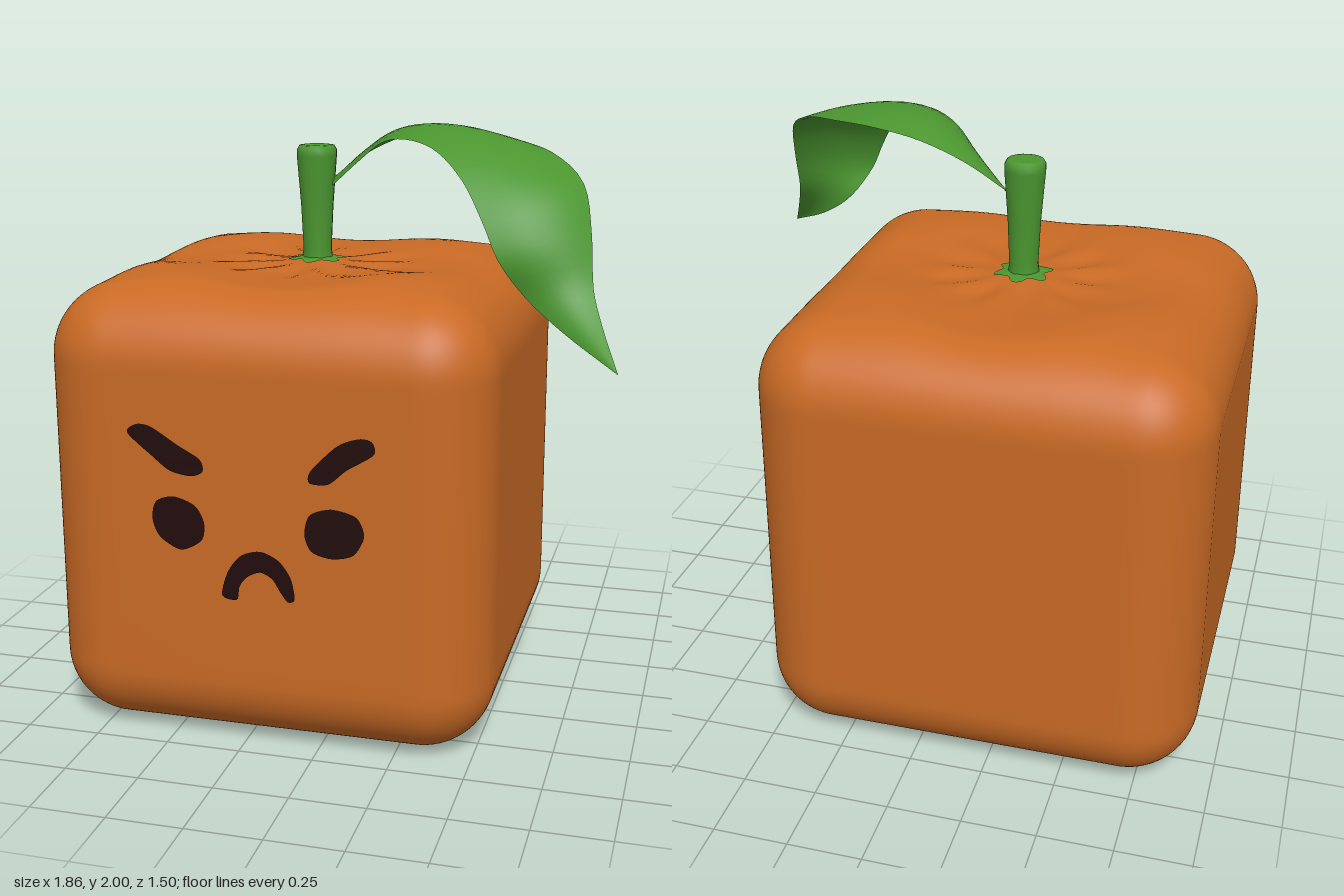
import * as THREE from 'three';
import { mergeVertices } from 'three/addons/utils/BufferGeometryUtils.js';

const CX = -0.19, CZ = -0.005; // body axis

const orange = new THREE.MeshStandardMaterial({ name: 'orange skin', color: 0xc96a25 });
const green = new THREE.MeshStandardMaterial({ name: 'leaf green', color: 0x4b9630, side: THREE.DoubleSide });
const ink = new THREE.MeshStandardMaterial({ name: 'dark face paint', color: 0x220d0d });

function addMesh(parent, name, geometry, material) {
  const mesh = new THREE.Mesh(geometry, material);
  mesh.name = name;
  parent.add(mesh);
  return mesh;
}

// Height of the puckered top: four diagonal lobes, fine creases and a raised centre
function pucker(x, z) {
  const r = Math.hypot(x, z), a = Math.atan2(z, x);
  const lobes = 0.03 * Math.exp(-(((r - 0.52) / 0.17) ** 2)) * (0.5 - 0.5 * Math.cos(4 * a));
  const creases = 0.008 * Math.exp(-(((r - 0.24) / 0.1) ** 2)) * Math.cos(9 * a + 0.6);
  return lobes + creases + 0.018 * Math.exp(-((r / 0.12) ** 2));
}

// Rounded cube with a fine grid so the top can be shaped
function bodyGeometry() {
  const half = new THREE.Vector3(0.743, 0.751, 0.745), radius = 0.24;
  let geo = new THREE.BoxGeometry(half.x * 2, half.y * 2, half.z * 2, 60, 60, 60);
  geo.deleteAttribute('uv');
  geo.deleteAttribute('normal');
  geo.clearGroups();
  geo = mergeVertices(geo, 1e-4);
  const inner = half.clone().subScalar(radius), low = inner.clone().negate();
  const pos = geo.attributes.position, p = new THREE.Vector3(), core = new THREE.Vector3();
  for (let i = 0; i < pos.count; i++) {
    p.fromBufferAttribute(pos, i);
    core.copy(p).clamp(low, inner);
    p.sub(core).setLength(radius).add(core);
    const w = THREE.MathUtils.smoothstep(p.y, inner.y, half.y - 0.02);
    pos.setXYZ(i, p.x, p.y + w * pucker(p.x, p.z), p.z);
  }
  geo.computeVertexNormals();
  return geo;
}

// Leaf lofted between its two edges, arched across the middle
function leafGeometry() {
  const curve = (pts) => new THREE.CatmullRomCurve3(pts.map((p) => new THREE.Vector3(...p)));
  const edgeA = curve([[-0.13, 1.8, -0.03], [0, 1.89, -0.055], [0.15, 1.95, -0.055], [0.32, 1.965, 0], [0.5, 1.95, 0.1],
    [0.65, 1.92, 0.22], [0.77, 1.84, 0.37], [0.81, 1.7, 0.47], [0.83, 1.55, 0.55], [0.865, 1.46, 0.62], [0.93, 1.34, 0.745]]);
  const edgeB = curve([[-0.13, 1.77, 0.01], [0, 1.875, 0.1], [0.1, 1.94, 0.2], [0.22, 1.955, 0.32], [0.32, 1.93, 0.41],
    [0.42, 1.85, 0.5], [0.5, 1.73, 0.575], [0.55, 1.63, 0.6], [0.63, 1.52, 0.575], [0.75, 1.43, 0.62], [0.93, 1.34, 0.745]]);
  const rows = 40, cols = 8, verts = [], index = [];
  for (let i = 0; i <= rows; i++) {
    const t = i / rows, a = edgeA.getPoint(t), b = edgeB.getPoint(t);
    const across = b.clone().sub(a);
    const along = edgeA.getTangent(t).add(edgeB.getTangent(t));
    const up = across.clone().cross(along).normalize();
    for (let j = 0; j <= cols; j++) {
      const v = j / cols, arch = 0.11 * across.length() * (1 - (2 * v - 1) ** 2);
      const p = a.clone().lerp(b, v).addScaledVector(up, arch);
      verts.push(p.x, p.y, p.z);
      if (i < rows && j < cols) {
        const k = i * (cols + 1) + j, n = k + cols + 1;
        index.push(k, k + 1, n, k + 1, n + 1, n);
      }
    }
  }
  const geo = new THREE.BufferGeometry();
  geo.setAttribute('position', new THREE.Float32BufferAttribute(verts, 3));
  geo.setIndex(index);
  geo.computeVertexNormals();
  return geo;
}

// Painted patch with a softly curved outline
function patch(points) {
  const outline = new THREE.Shape();
  const curve = new THREE.CatmullRomCurve3(points.map(([x, y]) => new THREE.Vector3(x, y, 0)), true, 'catmullrom', 0.4);
  outline.setFromPoints(curve.getPoints(60).slice(0, -1).map((p) => new THREE.Vector2(p.x, p.y)));
  return new THREE.ShapeGeometry(outline);
}

export function createModel() {
  const model = new THREE.Group();
  model.name = 'angry square fruit';

  addMesh(model, 'body', bodyGeometry(), orange).position.set(CX, 0.751, CZ);

  // Stem with a chamfered top
  const stem = new THREE.Group();
  stem.name = 'stem';
  stem.position.set(CX, 0, -0.01);
  model.add(stem);
  const stemProfile = [[0.056, 1.5], [0.049, 1.55], [0.056, 1.7], [0.069, 1.87], [0.069, 1.89], [0.06, 1.905], [0.045, 1.907], [0, 1.905]];
  addMesh(stem, 'stalk', new THREE.LatheGeometry(stemProfile.map(([x, y]) => new THREE.Vector2(x, y)), 16), green);

  // Star shaped collar draped on the top of the body
  const collar = new THREE.CircleGeometry(0.1, 40).rotateX(-Math.PI / 2);
  const pos = collar.attributes.position;
  for (let i = 1; i < pos.count; i++) {
    const k = 0.87 + 0.16 * Math.cos(6 * Math.atan2(pos.getZ(i), pos.getX(i)) + 2.8);
    const x = pos.getX(i) * k, z = pos.getZ(i) * k;
    pos.setXYZ(i, x, 1.506 + pucker(x, z), z);
  }
  pos.setY(0, 1.535);
  collar.computeVertexNormals();
  addMesh(stem, 'collar', collar, green);

  addMesh(model, 'leaf', leafGeometry(), green);

  // Painted face
  const face = new THREE.Group();
  face.name = 'face';
  face.position.z = CZ + 0.749;
  model.add(face);
  addMesh(face, 'rightBrow', patch([[-0.6, 1.06], [-0.57, 1.09], [-0.52, 1.085], [-0.43, 1.03], [-0.36, 0.99],
    [-0.35, 0.95], [-0.39, 0.932], [-0.46, 0.945], [-0.52, 0.99]]), ink);
  addMesh(face, 'leftBrow', patch([[0, 0.94], [0.005, 0.98], [0.09, 1.065], [0.16, 1.093], [0.2, 1.085], [0.205, 1.045],
    [0.12, 0.99], [0.06, 0.94]]), ink);
  addMesh(face, 'rightEye', patch([[-0.525, 0.78], [-0.51, 0.84], [-0.45, 0.86], [-0.38, 0.835], [-0.35, 0.78],
    [-0.36, 0.72], [-0.43, 0.683], [-0.5, 0.72]]), ink);
  addMesh(face, 'leftEye', patch([[-0.018, 0.77], [0, 0.835], [0.07, 0.86], [0.15, 0.84], [0.175, 0.78],
    [0.14, 0.715], [0.07, 0.697], [0.005, 0.715]]), ink);
  addMesh(face, 'mouth', patch([[-0.295, 0.54], [-0.275, 0.62], [-0.23, 0.68], [-0.165, 0.7], [-0.105, 0.675], [-0.065, 0.62],
    [-0.052, 0.55], [-0.075, 0.538], [-0.1, 0.57], [-0.125, 0.61], [-0.165, 0.63], [-0.21, 0.61], [-0.236, 0.575], [-0.245, 0.53]]), ink);

  return model;
}
